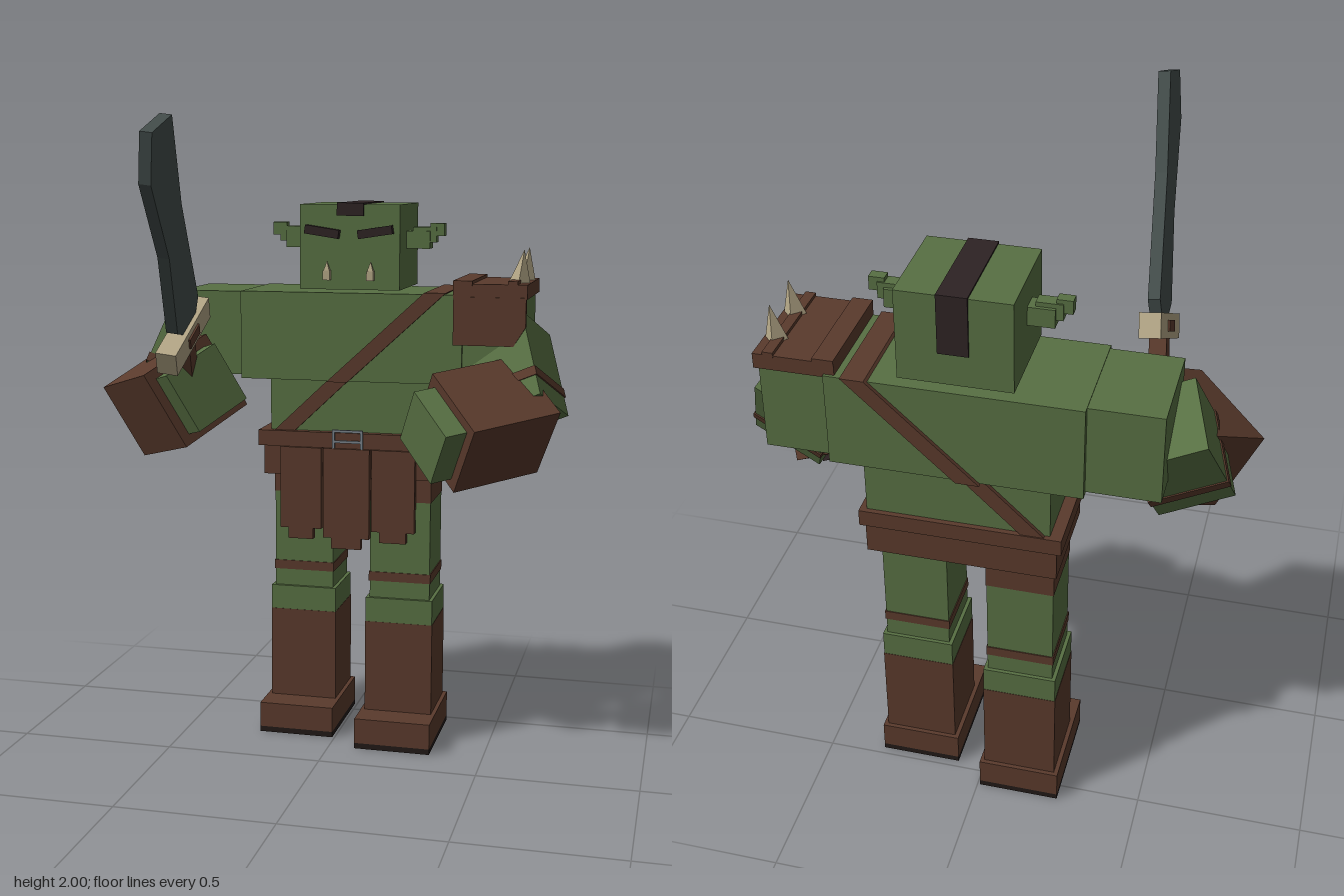
import * as THREE from 'three';

const mat = (name, color) => {
  const m = new THREE.MeshStandardMaterial({ color });
  m.name = name;
  return m;
};

export function createModel() {
  const green = mat('green skin', 0x587043);
  const brown = mat('brown leather', 0x5a3a2c);
  const dark = mat('dark hair', 0x2e2324);
  const sole = mat('sole black', 0x211917);
  const bone = mat('bone', 0xb3a686);
  const blade = mat('dark steel', 0x434d4b);
  const metal = mat('grey metal', 0x78828a);

  const model = new THREE.Group();
  model.name = 'warrior';

  const group = (name, parent = model) => {
    const g = new THREE.Group();
    g.name = name;
    parent.add(g);
    return g;
  };
  const add = (parent, name, geometry, material) => {
    const m = new THREE.Mesh(geometry, material);
    m.name = name;
    parent.add(m);
    return m;
  };
  // Box given by its limits on each axis
  const box = (parent, name, material, x0, x1, y0, y1, z0, z1) => {
    const m = add(parent, name, new THREE.BoxGeometry(x1 - x0, y1 - y0, z1 - z0), material);
    m.position.set((x0 + x1) / 2, (y0 + y1) / 2, (z0 + z1) / 2);
    return m;
  };
  // Group whose local x runs along a limb and local y along its upper side
  const limb = (name, centre, along, up) => {
    const g = group(name);
    const x = new THREE.Vector3(...along).normalize();
    const z = x.clone().cross(new THREE.Vector3(...up)).normalize();
    const y = z.clone().cross(x);
    g.quaternion.setFromRotationMatrix(new THREE.Matrix4().makeBasis(x, y, z));
    g.position.set(...centre);
    return g;
  };
  const spike = (parent, name, x, y, z, r, h) => {
    const m = add(parent, name, new THREE.ConeGeometry(r, h, 4).toNonIndexed(), bone);
    m.geometry.computeVertexNormals();
    m.position.set(x, y + h / 2, z);
    return m;
  };
  const extrude = (points, depth) => new THREE.ExtrudeGeometry(
    new THREE.Shape(points.map(p => new THREE.Vector2(...p))), { depth, bevelEnabled: false });

  // Head
  const head = group('head');
  box(head, 'skull', green, -0.12, 0.2, 1.475, 1.74, -0.54, -0.235);
  box(head, 'hairTop', dark, 0, 0.085, 1.738, 1.745, -0.546, -0.229);
  box(head, 'hairBack', dark, 0, 0.085, 1.57, 1.745, -0.546, -0.538);
  box(head, 'hairFront', dark, 0, 0.085, 1.705, 1.745, -0.237, -0.229);
  for (const s of [-1, 1]) {
    const side = group('faceSide', head);
    side.position.x = 0.04;
    const brow = box(side, 'brow', dark, s * 0.085 - 0.055, s * 0.085 + 0.055, 1.642, 1.669, -0.24, -0.21);
    brow.rotation.z = s * 0.15;
    const ear = (name, a, b, ...r) => box(side, name, green, Math.min(s * a, s * b), Math.max(s * a, s * b), ...r);
    ear('earBase', 0.155, 0.235, 1.6, 1.655, -0.4, -0.345);
    ear('earMiddle', 0.18, 0.255, 1.62, 1.668, -0.39, -0.35);
    ear('earTip', 0.235, 0.28, 1.64, 1.68, -0.385, -0.352);
    box(side, 'tuskRoot', bone, s * 0.07 - 0.011, s * 0.07 + 0.011, 1.505, 1.535, -0.24, -0.212);
    spike(side, 'tuskTip', s * 0.07, 1.535, -0.224, 0.013, 0.03).rotation.y = Math.PI / 4;
  }

  // Torso
  const torso = group('torso');
  box(torso, 'chest', green, -0.315, 0.4, 1.185, 1.465, -0.565, -0.228);
  box(torso, 'belly', green, -0.22, 0.31, 1.0, 1.185, -0.54, -0.245);
  // Diagonal strap wrapping chest and belly
  const strap = (name, x0, y0, x1, y1, w, z0, z1) => {
    add(torso, name, extrude([[x0, y0], [x0 + w, y0], [x1 + w, y1], [x1, y1]], z1 - z0), brown).position.z = z0;
  };
  strap('strapUpper', -0.03, 1.183, 0.282, 1.471, 0.067, -0.577, -0.214);
  strap('strapLower', -0.21, 1.015, -0.03, 1.186, 0.067, -0.552, -0.234);

  // Belt, hips, buckle
  const waist = group('waist');
  box(waist, 'belt', brown, -0.255, 0.33, 0.97, 1.02, -0.556, -0.218);
  box(waist, 'hips', brown, -0.24, 0.315, 0.875, 0.97, -0.545, -0.232);
  for (const y of [0.955, 0.988, 1.022])
    box(waist, 'buckleBar', metal, -0.01, 0.09, y, y + 0.008, -0.22, -0.212);
  for (const x of [-0.01, 0.082])
    box(waist, 'buckleSide', metal, x, x + 0.008, 0.955, 1.03, -0.22, -0.212);

  // Stepped leather flaps
  for (const [x0, x1, low] of [[-0.18, -0.045, 0.67], [-0.038, 0.113, 0.643], [0.12, 0.26, 0.67]]) {
    const flap = group('flap', waist);
    box(flap, 'flapPanel', brown, x0, x1, low + 0.035, 0.97, -0.234, -0.208);
    box(flap, 'flapTip', brown, x0 + 0.027, x1 - 0.027, low, low + 0.035, -0.234, -0.208);
  }

  // Legs, the left one a little forward
  for (const [name, x, z] of [['rightLeg', -0.131, -0.428], ['leftLeg', 0.207, -0.349]]) {
    const leg = group(name);
    leg.position.set(x, 0, z);
    const part = (n, m, w, y0, y1, d) => box(leg, n, m, -w, w, y0, y1, -d, d);
    part('hip', brown, 0.1, 0.8, 0.9, 0.104);
    part('thigh', green, 0.098, 0.48, 0.8, 0.102);
    part('kneeBand', brown, 0.101, 0.535, 0.565, 0.105);
    part('shin', green, 0.109, 0.4, 0.48, 0.113);
    part('boot', brown, 0.11, 0.1, 0.4, 0.114);
    box(leg, 'foot', brown, -0.123, 0.123, 0.018, 0.1, -0.127, 0.213);
    box(leg, 'sole', sole, -0.123, 0.123, 0, 0.018, -0.127, 0.213);
  }

  // Shoulders
  box(model, 'rightShoulder', green, -0.522, -0.3, 1.195, 1.463, -0.545, -0.242);
  box(model, 'leftShoulder', green, 0.39, 0.59, 1.195, 1.463, -0.543, -0.24);

  // Upper arms
  const upperArm = (name, centre, along, up) => {
    const arm = limb(name, centre, along, up);
    box(arm, 'bicep', green, -0.145, 0.145, -0.112, 0.112, -0.112, 0.112);
    box(arm, 'armBand', brown, 0.05, 0.08, -0.116, 0.116, -0.116, 0.116);
  };
  upperArm('leftUpperArm', [0.55, 1.21, -0.31], [0.08, -0.24, 0.148], [-0.07, 0.095, 0.19]);
  upperArm('rightUpperArm', [-0.525, 1.22, -0.32], [-0.07, -0.24, 0.14], [0.07, 0.095, 0.19]);

  // Forearms: bracer, hand, and a buckled plate
  const forearm = (name, centre, along, up, plateTurn) => {
    const arm = limb(name, centre, along, up);
    box(arm, 'bracer', brown, -0.153, 0.153, -0.13, 0.13, -0.13, 0.13);
    box(arm, 'hand', green, 0.15, 0.226, -0.1, 0.1, -0.1, 0.1);
    const plate = group('bracerPlate', arm);
    plate.rotation.x = plateTurn;
    box(plate, 'plate', dark, -0.09, 0.09, -0.146, -0.13, -0.075, 0.075);
    for (const x of [-0.05, 0.05]) for (const z of [-0.05, 0.05])
      box(plate, 'plateBuckle', metal, x - 0.018, x + 0.018, -0.152, -0.146, z - 0.012, z + 0.012);
  };
  forearm('leftForearm', [0.49, 1.08, -0.148], [-0.75, -0.12, 0.65], [0.31, 0.81, 0.5], 0);
  forearm('rightForearm', [-0.51, 1.133, -0.136], [0.21, 0.07, 0.2], [-0.116, 0.228, 0.05], Math.PI / 2);

  // Shoulder guard with spikes
  const guard = group('shoulderGuard');
  box(guard, 'guardTop', brown, 0.37, 0.6, 1.455, 1.5, -0.556, -0.225);
  for (const [x0, x1] of [[0.37, 0.43], [0.54, 0.57]])
    box(guard, 'guardRidge', brown, x0, x1, 1.495, 1.51, -0.558, -0.223);
  add(guard, 'guardFront', extrude(
    [[0.372, 1.31], [0.56, 1.31], [0.597, 1.37], [0.597, 1.46], [0.372, 1.46]], 0.02), brown).position.z = -0.242;
  for (const z of [-0.465, -0.325]) {
    const m = spike(guard, 'spike', 0.57, 1.498, z, 0.034, 0.105);
    m.rotation.z = -0.12;
  }

  // Sword, tilted slightly sideways; drawn in the z-y plane about its guard
  const sword = group('sword');
  sword.position.set(-0.4, 1.35, 0);
  sword.rotation.z = -0.12;
  const outline = [[0.2, 0.02], [0.34, 0.25], [0.55, 0.46], [0.58, 0.6], [0.435, 0.652],
    [0.28, 0.405], [0.04, 0.12], [0.06, 0.0]].reverse();
  const bladeGeometry = extrude(outline, 0.036);
  bladeGeometry.translate(0, 0, -0.018).rotateY(-Math.PI / 2);
  add(sword, 'blade', bladeGeometry, blade);
  const hilt = group('hilt', sword);
  hilt.position.set(0, 0.005, 0.09);
  hilt.rotation.x = Math.PI / 6;
  box(hilt, 'crossGuard', bone, -0.032, 0.032, -0.037, 0.037, -0.152, 0.152);
  box(hilt, 'guardInset', brown, -0.038, 0.038, -0.017, 0.017, -0.042, 0.042);
  box(hilt, 'grip', brown, -0.026, 0.026, -0.22, -0.037, -0.026, 0.026);

  return model;
}
